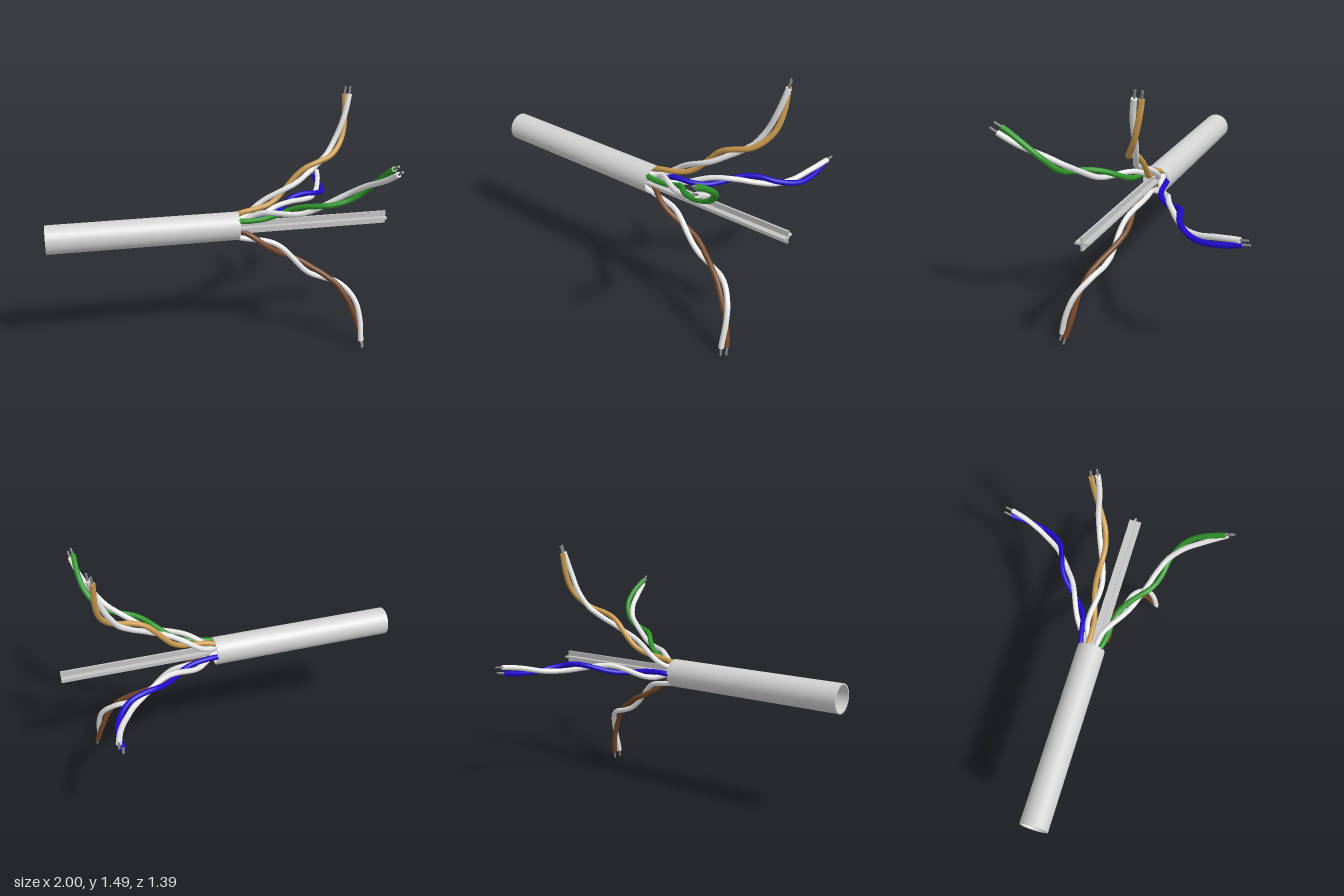
import * as THREE from 'three';

const mat = (name, color, side = THREE.FrontSide) => {
  const m = new THREE.MeshStandardMaterial({ color, side });
  m.name = name;
  return m;
};

// centre of the cable, which runs along x
const CY = 0.74, CZ = 0.077;
const WIRE_R = 0.0158, BARE_R = 0.0065, PAIR_OFFSET = 0.018;

// path of every pair: [along the cable, outwards from its axis, sideways sway]
const PATH = [[0.05, 0.04, 0], [0.11, 0.052, -0.005], [0.2, 0.088, -0.016], [0.32, 0.145, -0.01],
  [0.43, 0.22, 0.004], [0.52, 0.29, 0.01], [0.6, 0.335, 0.004], [0.68, 0.385, -0.012],
  [0.75, 0.485, -0.028], [0.785, 0.6, -0.022], [0.803, 0.73, -0.01]];

export function createModel() {
  const model = new THREE.Group();
  model.name = 'twistedPairCable';
  const jacketMat = mat('jacket grey', 0xd2d2d2, THREE.DoubleSide);
  const separatorMat = mat('separator grey', 0xc4c4c4);
  const whiteMat = mat('wire white', 0xe6e6e6);
  const bareMat = mat('bare conductor grey', 0x858585);

  const add = (parent, name, geometry, material) => {
    const mesh = new THREE.Mesh(geometry, material);
    mesh.name = name;
    parent.add(mesh);
    return mesh;
  };

  // hollow outer jacket
  const jacket = new THREE.Group();
  jacket.name = 'jacket';
  jacket.position.set(-0.45, CY, CZ);
  for (const [name, r] of [['jacketOuter', 0.0825], ['jacketInner', 0.074]]) {
    const g = new THREE.CylinderGeometry(r, r, 1.1, 48, 1, true).rotateZ(Math.PI / 2);
    add(jacket, name, g, jacketMat);
  }
  for (const s of [-1, 1]) {
    const rim = new THREE.RingGeometry(0.074, 0.0825, 48).rotateY(s * Math.PI / 2);
    rim.translate(s * 0.55, 0, 0);
    add(jacket, 'jacketRim', rim, jacketMat);
  }
  model.add(jacket);

  // cross-shaped separator, extruded along x
  const a = 0.0375, t = 0.006;
  const cross = new THREE.Shape([[-t, -a], [t, -a], [t, -t], [a, -t], [a, t], [t, t],
    [t, a], [-t, a], [-t, t], [-a, t], [-a, -t], [-t, -t]].map(p => new THREE.Vector2(...p)));
  const crossGeo = new THREE.ExtrudeGeometry(cross, { depth: 0.94, bevelEnabled: false });
  crossGeo.rotateY(Math.PI / 2);
  add(model, 'separator', crossGeo, separatorMat).position.set(0.06, 0.736, 0.096);

  // solid round tube with closed ends
  const rod = (parent, name, points, radius, material, sides) => {
    const curve = new THREE.CatmullRomCurve3(points);
    const steps = points.length > 2 ? 90 : 1;
    add(parent, name, new THREE.TubeGeometry(curve, steps, radius, sides, false), material);
    for (const [u, s] of [[0, -1], [1, 1]]) {
      const cap = add(parent, name + 'End', new THREE.CircleGeometry(radius, sides), material);
      cap.position.copy(curve.getPointAt(u));
      cap.quaternion.setFromUnitVectors(new THREE.Vector3(0, 0, 1),
        curve.getTangentAt(u).multiplyScalar(s).normalize());
    }
  };

  // one pair of wires winding about a shared path that leaves the axis towards (dy, dz);
  // the twist loosens towards the tips
  const addPair = (name, first, second, dy, dz) => {
    const pair = new THREE.Group();
    pair.name = name;
    const side = new THREE.Vector3(0, -dz, dy).normalize();
    const path = new THREE.CatmullRomCurve3(PATH.map(([x, r, sway]) =>
      new THREE.Vector3(x, CY + r * dy, CZ + r * dz).addScaledVector(side, sway)));
    for (const [wire, m, turn] of [['firstWire', first, 0], ['secondWire', second, 180]]) {
      const points = [];
      for (let i = 0; i <= 50; i++) {
        const u = i / 50;
        const angle = THREE.MathUtils.degToRad(turn - 50 + 1000 * u - 290 * u * u);
        const out = new THREE.Vector3().crossVectors(side, path.getTangentAt(u)).normalize();
        points.push(path.getPointAt(u)
          .addScaledVector(out, PAIR_OFFSET * Math.cos(angle))
          .addScaledVector(side, PAIR_OFFSET * Math.sin(angle)));
      }
      rod(pair, wire, points, WIRE_R, m, 14);
      // stripped tip
      const end = points[50], dir = path.getTangentAt(1);
      rod(pair, 'bareTip', [end.clone().addScaledVector(dir, -0.01),
        end.clone().addScaledVector(dir, 0.045)], BARE_R, bareMat, 10);
    }
    model.add(pair);
  };

  addPair('orangePair', mat('wire orange', 0xc99a4e), whiteMat, 0.963, -0.27);
  addPair('greenPair', mat('wire green', 0x2f962b), whiteMat, 0.616, 0.787);
  addPair('bluePair', mat('wire blue', 0x2008cc), whiteMat, 0.08, -0.997);
  addPair('brownPair', whiteMat, mat('wire brown', 0x74482a), -0.948, 0.345);

  return model;
}
